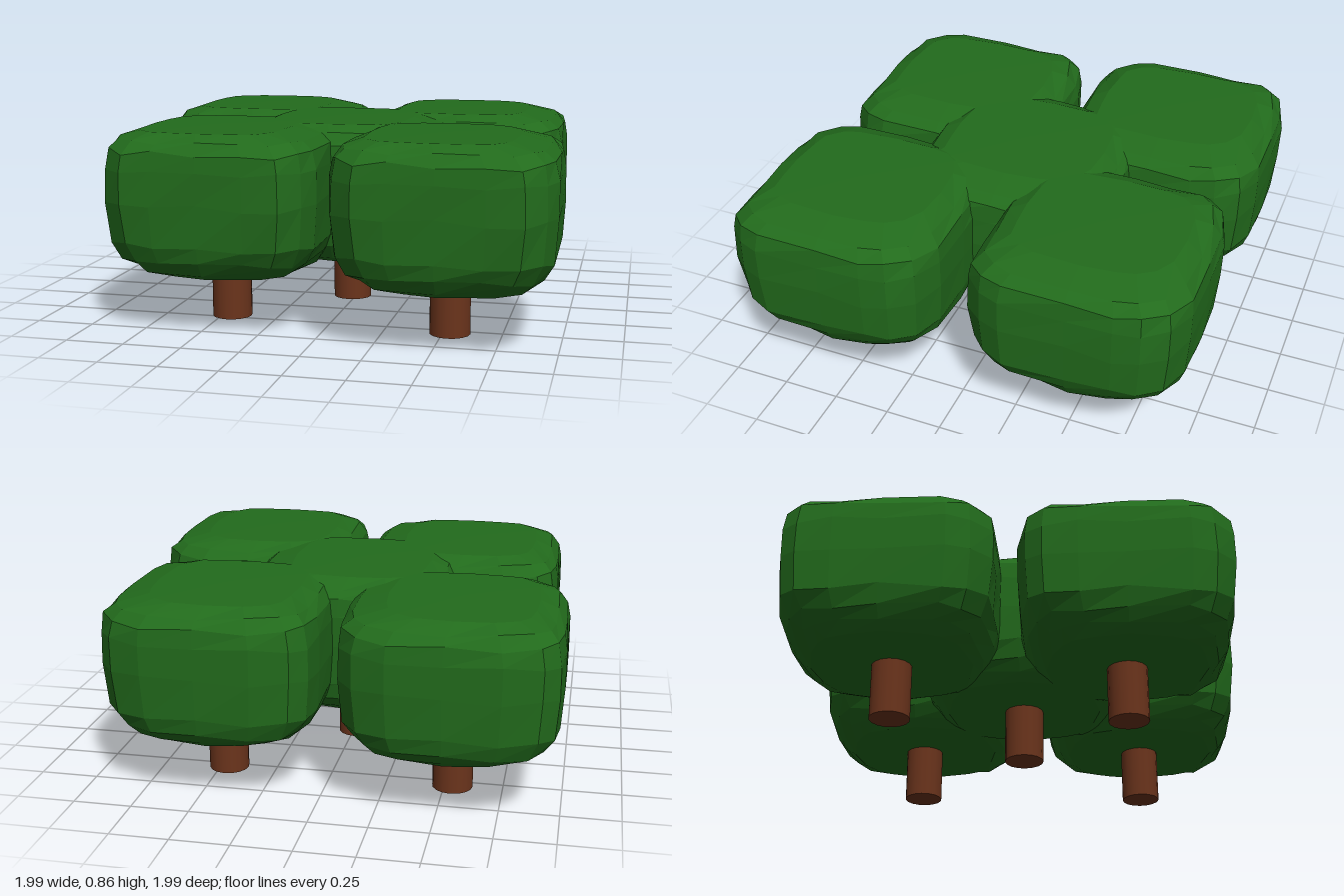
import * as THREE from 'three';

const leafMaterial = new THREE.MeshStandardMaterial({ color: 0x226b1c, flatShading: true });
const barkMaterial = new THREE.MeshStandardMaterial({ color: 0x6b341c });

// Plan outline of one crown (x, z), chamfered unevenly at the corners
const OUTLINE = [
  [0.46, 0], [0.465, 0.28], [0.43, 0.38], [0.35, 0.46], [0.2, 0.46],
  [0, 0.46], [-0.2, 0.46], [-0.33, 0.455], [-0.43, 0.37], [-0.46, 0.27],
  [-0.46, 0], [-0.465, -0.2], [-0.45, -0.35], [-0.385, -0.42], [-0.23, -0.46],
  [0, -0.46], [0.23, -0.46], [0.37, -0.41], [0.44, -0.31], [0.46, -0.2],
];

// Height, x scale, z scale, x shift, corner pull for each loop
const LAYERS = [
  [0.24, 0.74, 0.76, 0, 0.14],
  [0.27, 0.85, 0.86, 0, 0.1],
  [0.315, 0.93, 0.95, 0, 0.06],
  [0.39, 0.985, 0.99, 0, 0.02],
  [0.56, 1, 1, 0, 0],
  [0.7, 1, 1, 0, 0],
  [0.775, 0.98, 0.99, 0, 0.015],
  [0.815, 0.9, 0.91, -0.005, 0.03],
  [0.85, 0.68, 0.76, -0.03, 0.06],
];

function seeded(seed) {
  return () => {
    seed = (seed * 16807) % 2147483647;
    return seed / 2147483647;
  };
}

// Crown skinned from stacked loops, with slight unevenness in the bevels
function crownGeometry() {
  const random = seeded(4217);
  const n = OUTLINE.length;
  const positions = [];
  const index = [];
  LAYERS.forEach(([y, sx, sz, shift, pull], layer) => {
    const end = layer === 0 || layer === LAYERS.length - 1;
    OUTLINE.forEach(([x, z]) => {
      const corner = Math.min(1, Math.abs(x * z) / 0.16);
      const s = 1 - pull * corner - random() * 0.018;
      const dy = end ? 0 : (random() - 0.5) * 0.025;
      positions.push(x * sx * s + shift, y + dy, z * sz * s);
    });
  });
  for (let l = 0; l < LAYERS.length - 1; l++) {
    for (let i = 0; i < n; i++) {
      const a = l * n + i;
      const b = l * n + (i + 1) % n;
      index.push(a, a + n, b, b, a + n, b + n);
    }
  }
  // Bottom and top caps
  const bottom = positions.length / 3;
  positions.push(0, 0.24, 0, -0.03, 0.855, 0);
  const last = (LAYERS.length - 1) * n;
  for (let i = 0; i < n; i++) {
    const j = (i + 1) % n;
    index.push(bottom, i, j, bottom + 1, last + j, last + i);
  }
  const geometry = new THREE.BufferGeometry();
  geometry.setAttribute('position', new THREE.Float32BufferAttribute(positions, 3));
  geometry.setIndex(index);
  geometry.computeVertexNormals();
  return geometry;
}

export function createModel() {
  const model = new THREE.Group();
  model.name = 'treeCluster';
  const crown = crownGeometry();
  const trunk = new THREE.CylinderGeometry(0.087, 0.087, 0.3, 16).translate(0, 0.15, 0);

  // One tree in each corner and one in the middle
  const trees = [
    ['centerTree', -0.018, -0.005],
    ['frontLeftTree', 0.53, 0.535],
    ['frontRightTree', -0.458, 0.458],
    ['backLeftTree', 0.463, -0.523],
    ['backRightTree', -0.535, -0.54],
  ];
  for (const [name, x, z] of trees) {
    const tree = new THREE.Group();
    tree.name = name;
    tree.position.set(x, 0, z);
    const leaves = new THREE.Mesh(crown, leafMaterial);
    leaves.name = 'crown';
    const stem = new THREE.Mesh(trunk, barkMaterial);
    stem.name = 'trunk';
    tree.add(leaves, stem);
    model.add(tree);
  }
  return model;
}
